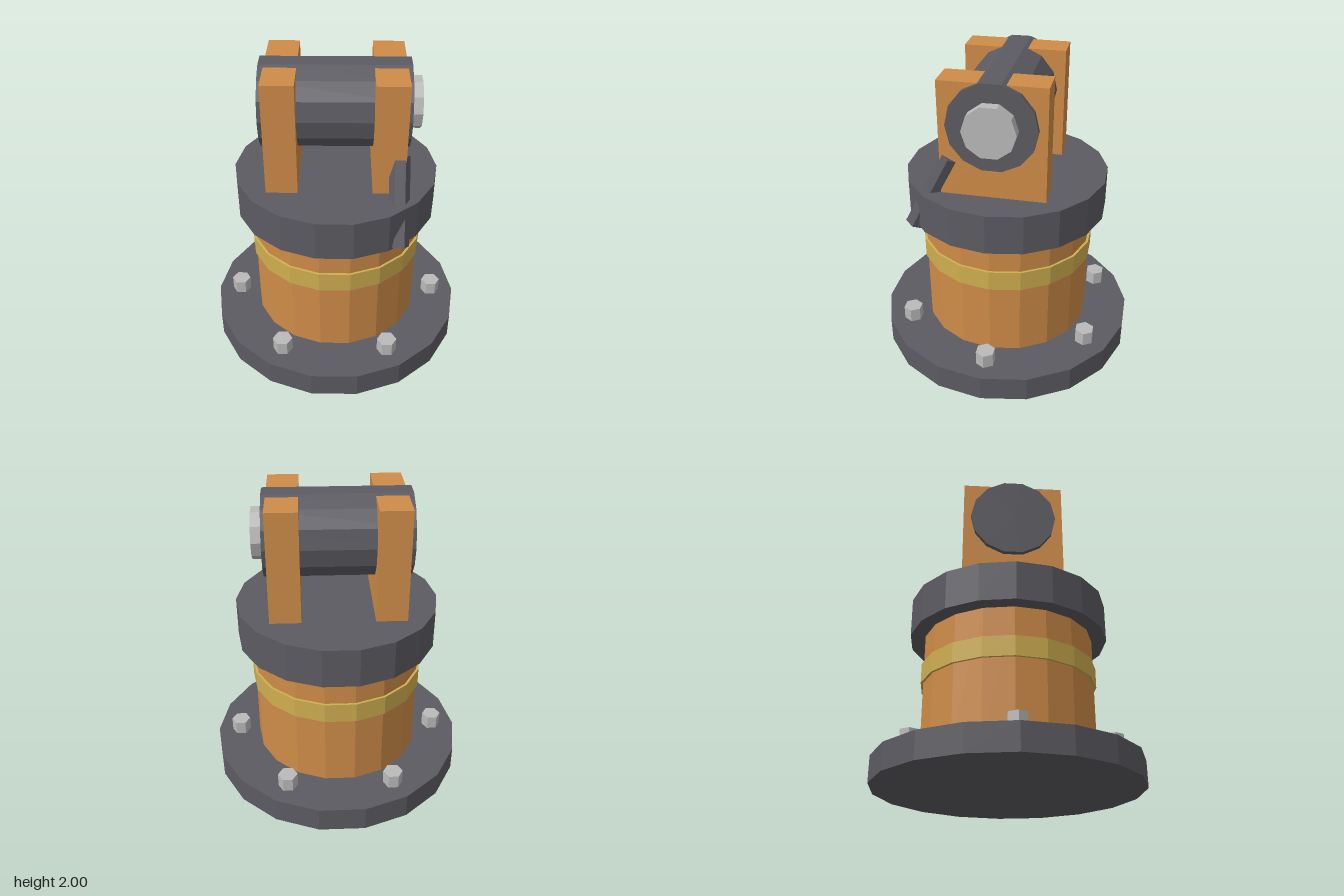
import * as THREE from 'three';

const paint = (name, color) => {
  const m = new THREE.MeshStandardMaterial({ color, flatShading: true });
  m.name = name;
  return m;
};

export function createModel() {
  const orange = paint('orange paint', 0xcf8c48);
  const iron = paint('dark iron', 0x5c5b62);
  const steel = paint('light steel', 0xbababa);
  const brass = paint('brass', 0xcfae50);

  const model = new THREE.Group();
  model.name = 'swivelMount';

  const add = (name, geometry, material, x = 0, y = 0, z = 0) => {
    const mesh = new THREE.Mesh(geometry, material);
    mesh.name = name;
    mesh.position.set(x, y, z);
    model.add(mesh);
    return mesh;
  };

  // Upright prism with corners on the x axis, standing from y0 to y1
  const prism = (name, r, y0, y1, sides, material, x = 0, z = 0) =>
    add(name, new THREE.CylinderGeometry(r, r, y1 - y0, sides, 1, false, Math.PI / 2),
      material, x, (y0 + y1) / 2, z);

  // Prism lying along x, from x0 to x1
  const axle = (name, r, x0, x1, sides, material) =>
    add(name, new THREE.CylinderGeometry(r, r, x1 - x0, sides).rotateZ(-Math.PI / 2),
      material, (x0 + x1) / 2, 1.728, 0);

  // Pedestal
  prism('baseFlange', 0.863, 0, 0.17, 18, iron);
  prism('column', 0.564, 0.17, 1.0, 18, orange);
  prism('band', 0.58, 0.667, 0.8, 18, brass);
  prism('turntable', 0.663, 1.0, 1.26, 18, iron);

  // Ring of hexagonal bolts
  for (let i = 0; i < 6; i++) {
    const a = (i * Math.PI) / 3;
    prism('bolt', 0.065, 0.15, 0.265, 6, steel, 0.698 * Math.cos(a), 0.698 * Math.sin(a));
  }

  // Cheeks carrying the drum
  for (const side of [-1, 1]) {
    add('cheek', new THREE.BoxGeometry(0.2, 0.75, 0.66), orange, side * 0.333, 1.615, 0);
  }
  axle('drum', 0.28, -0.465, 0.46, 14, iron);
  axle('axleCap', 0.165, 0.45, 0.53, 10, steel);

  // Slanted hexagonal lever passing through the turntable
  const lever = prism('lever', 0.065, 0, 0.562, 6, iron);
  lever.position.set(0.395, 1.248, 0.397);
  lever.rotation.x = -0.474;

  return model;
}
